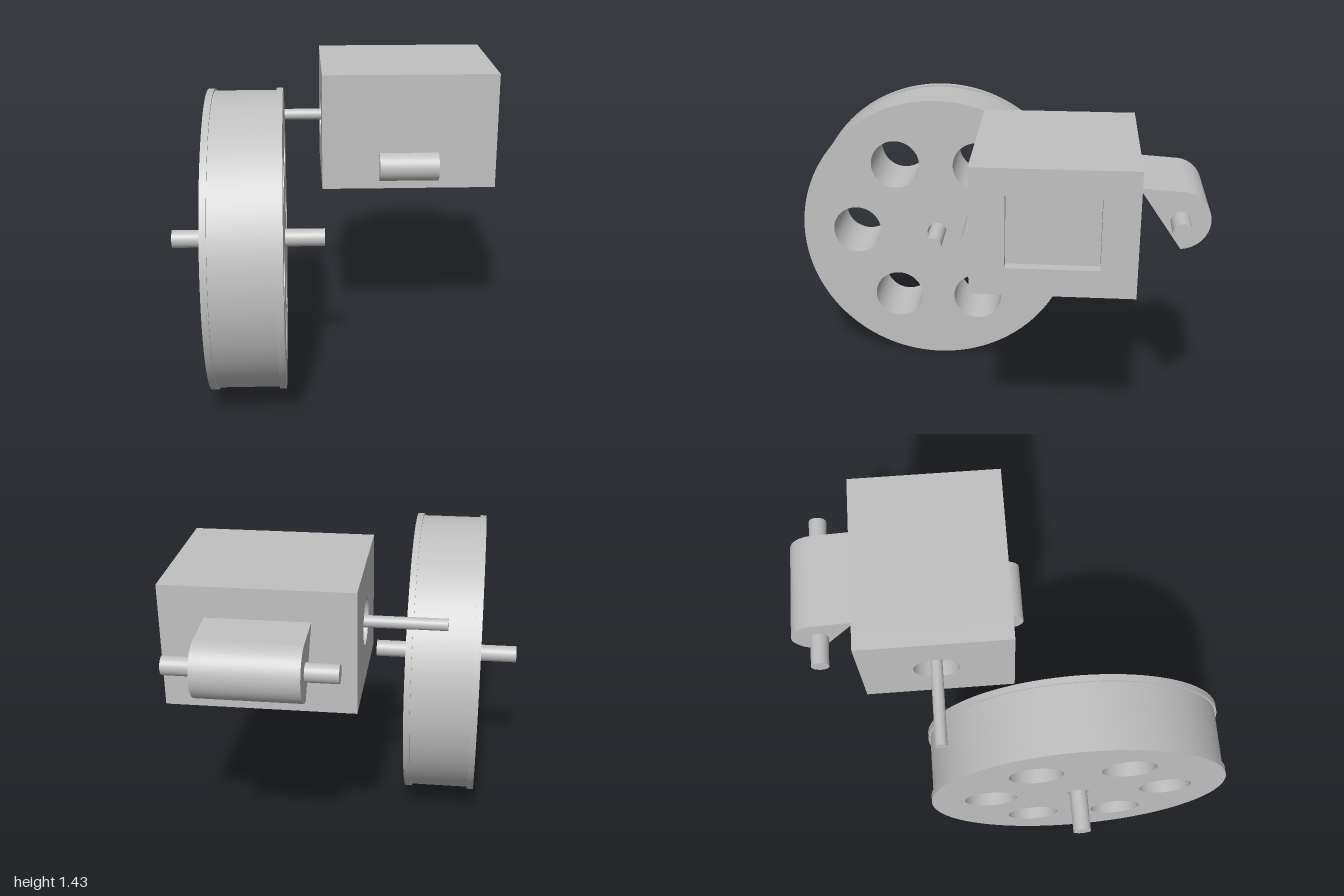
import * as THREE from 'three';
import { toCreasedNormals } from 'three/addons/utils/BufferGeometryUtils.js';

const grey = new THREE.MeshStandardMaterial({ color: 0xc0c0c0 });
grey.name = 'plain grey';

// Wheel axle, motor centre line and rear arm pin positions
const WHEEL = { y: 0.71, z: 0.295 };
const BOX = { x0: -0.07, x1: 0.785, y0: 0.86, y1: 1.43, z0: -0.687, z1: 0.028 };
const SHAFT = { y: 1.145, z: -0.333 };
const PIN = { y: 1.145, z: -0.868 };

export function createModel() {
  const model = new THREE.Group();
  model.name = 'wheelAndMotor';

  function add(name, geometry, parent = model) {
    const mesh = new THREE.Mesh(geometry, grey);
    mesh.name = name;
    parent.add(mesh);
    return mesh;
  }

  function addGroup(name) {
    const group = new THREE.Group();
    group.name = name;
    model.add(group);
    return group;
  }

  // Side profiles are drawn with shape x = -z and pushed along x from x0 to x1
  function slab(shape, x0, x1) {
    const g = new THREE.ExtrudeGeometry(shape, { depth: x1 - x0, bevelEnabled: false, curveSegments: 64 });
    g.rotateY(Math.PI / 2).translate(x0, 0, 0);
    return toCreasedNormals(g, 0.5);
  }

  function rod(radius, x0, x1, y, z) {
    const g = new THREE.CylinderGeometry(radius, radius, x1 - x0, 48);
    return g.rotateZ(Math.PI / 2).translate((x0 + x1) / 2, y, z);
  }

  function circle(z, y, r, Type = THREE.Path) {
    const path = new Type();
    path.absarc(-z, y, r, 0, Math.PI * 2, false);
    return path;
  }

  function rect(z0, z1, y0, y1, Type = THREE.Path) {
    const path = new Type();
    path.moveTo(-z1, y0);
    path.lineTo(-z0, y0);
    path.lineTo(-z0, y1);
    path.lineTo(-z1, y1);
    path.closePath();
    return path;
  }

  // Wheel disc outline with six round openings and an axle bore
  function disc(radius) {
    const shape = circle(WHEEL.z, WHEEL.y, radius, THREE.Shape);
    shape.holes.push(circle(WHEEL.z, WHEEL.y, 0.051));
    for (let i = 0; i < 6; i++) {
      const a = (i * Math.PI) / 3;
      shape.holes.push(circle(WHEEL.z + 0.422 * Math.cos(a), WHEEL.y + 0.422 * Math.sin(a), 0.125));
    }
    return shape;
  }

  // Wheel: tread between two slightly larger rims, on a long axle
  const wheel = addGroup('wheel');
  add('tread', slab(disc(0.696), -0.567, -0.283), wheel);
  add('outerRim', slab(disc(0.706), -0.597, -0.567), wheel);
  add('innerRim', slab(disc(0.706), -0.283, -0.253), wheel);
  add('axle', rod(0.042, -0.787, -0.065, WHEEL.y, WHEEL.z), wheel);

  // Motor housing: solid core, a plate with the shaft bore, a plate with the square recess
  const housing = addGroup('housing');
  const outline = () => rect(BOX.z0, BOX.z1, BOX.y0, BOX.y1, THREE.Shape);
  const boreDepth = 0.08;
  const recessDepth = 0.05;
  add('core', slab(outline(), BOX.x0 + boreDepth, BOX.x1 - recessDepth), housing);
  const borePlate = outline();
  borePlate.holes.push(circle(SHAFT.z, SHAFT.y, 0.108));
  add('borePlate', slab(borePlate, BOX.x0, BOX.x0 + boreDepth), housing);
  const recessPlate = outline();
  recessPlate.holes.push(rect(-0.53, -0.125, 0.985, 1.31));
  add('recessPlate', slab(recessPlate, BOX.x1 - recessDepth, BOX.x1), housing);

  // Drive shaft reaching over the wheel
  add('driveShaft', rod(0.028, -0.445, 0.05, SHAFT.y, SHAFT.z));

  // Rounded bar half sunk into the front face
  add('frontBar', rod(0.071, 0.21, 0.5, 0.971, 0.022));

  // Tapered rear arm with a rounded end, bored for the hinge pin
  const arm = new THREE.Shape();
  const tilt = 0.06;
  arm.moveTo(-BOX.z0, 1.002);
  arm.absarc(-PIN.z, PIN.y, 0.131, -Math.PI / 2 + tilt, Math.PI / 2 - tilt, false);
  arm.lineTo(-BOX.z0, 1.288);
  arm.closePath();
  arm.holes.push(circle(PIN.z, PIN.y, 0.051));
  add('rearArm', slab(arm, 0.125, 0.587));
  add('hingePin', rod(0.042, -0.02, 0.73, PIN.y, PIN.z));

  return model;
}
